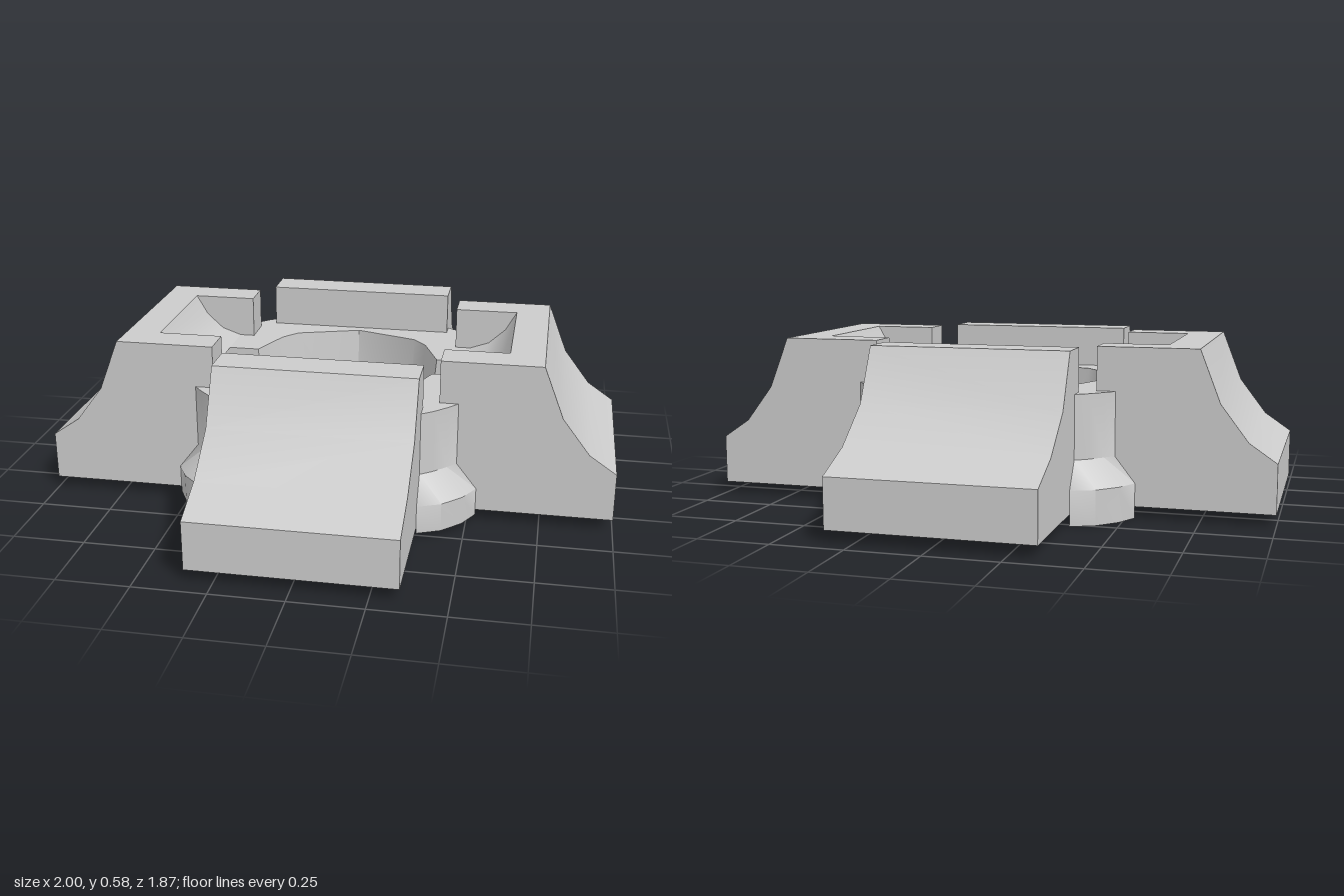
import * as THREE from 'three';
import { toCreasedNormals } from 'three/addons/utils/BufferGeometryUtils.js';

const TOP = 0.58, FLOOR = 0.43, BASE = 0.04;
const material = new THREE.MeshStandardMaterial({ color: 0xcccccc, side: THREE.DoubleSide });

function add(parent, name, geometry) {
  const mesh = new THREE.Mesh(geometry, material);
  mesh.name = name;
  parent.add(mesh);
  return mesh;
}

// Surface through rows of points, each row having the same number of points
function loft(rows) {
  const n = rows[0].length, index = [];
  for (let i = 0; i < rows.length - 1; i++) {
    for (let j = 0; j < n - 1; j++) {
      const a = i * n + j, b = a + n;
      index.push(a, a + 1, b + 1, a, b + 1, b);
    }
  }
  const g = new THREE.BufferGeometry();
  g.setAttribute('position', new THREE.Float32BufferAttribute(rows.flat(2), 3));
  g.setIndex(index);
  return toCreasedNormals(g, 0.6);
}

const outline = (pts) => new THREE.ShapeGeometry(new THREE.Shape(pts.map(([x, y]) => new THREE.Vector2(x, y))));

// Horizontal sheet from [x, z] points
const sheet = (pts, y) => outline(pts.map(([x, z]) => [x, -z])).rotateX(-Math.PI / 2).translate(0, y, 0);

// Upright sheet from [z, y] points at a given x
const upright = (pts, x) => outline(pts.map(([z, y]) => [-z, y])).rotateY(Math.PI / 2).translate(x, 0, 0);

// Hollow buttress facing +z: concave outer slope and two cheeks, open below
function buttress(name, slope, inner, half) {
  const g = new THREE.Group();
  g.name = name;
  add(g, 'outerSlope', loft([-half, half].map((x) => slope.map(([z, y]) => [x, y, z]))));
  for (const s of [-1, 1]) {
    add(g, 'cheek', upright([[inner, BASE], ...slope, [inner, TOP]], s * half));
  }
  return g;
}

function solidButtress() {
  const half = 0.345, inner = 0.4;
  const slope = [[0.935, BASE], [0.935, 0.21], [0.78, 0.275], [0.625, 0.395], [0.53, TOP]];
  const g = buttress('solidButtress', slope, inner, half);
  add(g, 'crest', sheet([[-half, inner], [half, inner], [half, 0.53], [-half, 0.53]], TOP));
  add(g, 'innerWall', loft([FLOOR, TOP].map((y) => [[-half, y, inner], [half, y, inner]])));
  return g;
}

function pocketButtress() {
  const half = 0.35, inner = 0.395, mouth = 0.23;
  const slope = [[1, BASE], [1, 0.21], [0.905, 0.275], [0.81, 0.4], [0.74, TOP]];
  const pocket = [[0.45, FLOOR], [0.52, 0.455], [0.58, 0.51], [0.62, TOP]];
  const g = buttress('pocketButtress', slope, inner, half);
  add(g, 'crest', sheet([
    [-half, inner], [-mouth, inner], [-mouth, 0.62], [mouth, 0.62],
    [mouth, inner], [half, inner], [half, 0.74], [-half, 0.74],
  ], TOP));
  add(g, 'pocketSlope', loft([-mouth, mouth].map((x) => pocket.map(([z, y]) => [x, y, z]))));
  for (const s of [-1, 1]) {
    add(g, 'pocketSide', upright([[inner, FLOOR], ...pocket, [inner, TOP]], s * mouth));
    add(g, 'lipEnd', loft([FLOOR, TOP].map((y) => [[s * mouth, y, inner], [s * half, y, inner]])));
  }
  return g;
}

// Rounded corner wall between two buttresses, flared at the foot
function cornerWall(foot) {
  const wide = [[0.53, 0.35], [0.49, 0.425], [0.425, 0.49], [0.345, 0.525]];
  const narrow = [[0.46, 0.35], [0.43, 0.385], [0.385, 0.43], [0.345, 0.46]];
  const row = (pts, y) => pts.map(([x, z]) => [x, y, z]);
  return loft([row(wide, foot), row(wide, 0.12), row(narrow, 0.21), row(narrow, FLOOR)]);
}

// Half of the central ring (z > 0): floor, tapering hole wall and slot walls
function ringHalf() {
  const g = new THREE.Group();
  g.name = 'ringHalf';
  const mirrored = (pts) => [...pts, ...pts.slice(0, -1).reverse().map(([x, z]) => [-x, z])];
  const rim = mirrored([[0.34, 0.075], [0.28, 0.23], [0.23, 0.29], [0, 0.365]]);
  const hem = mirrored([[0.305, 0.07], [0.235, 0.23], [0.21, 0.26], [0, 0.325]]);
  const edge = [
    [0.45, 0.075], [0.45, 0.23], [0.395, 0.23], [0.395, 0.35], [0.46, 0.35],
    [0.43, 0.385], [0.385, 0.43], [0.345, 0.46], [0.345, 0.4],
  ];
  const left = edge.map(([x, z]) => [-x, z]);
  add(g, 'floor', sheet([...rim, ...left, ...edge.slice().reverse()], FLOOR));
  add(g, 'holeWall', loft([
    hem.map(([x, z]) => [x, 0.02, z]),
    rim.map(([x, z]) => [x, FLOOR, z]),
  ]));
  for (const s of [-1, 1]) {
    add(g, 'slotWall', loft([
      [[s * 0.305, 0.02, 0.07], [s * 0.69, 0.02, 0.07]],
      [[s * 0.34, FLOOR, 0.075], [s * 0.62, FLOOR, 0.075]],
    ]));
  }
  return g;
}

export function createModel() {
  const model = new THREE.Group();
  model.name = 'buttressedRing';
  for (const s of [1, -1]) {
    const ring = ringHalf();
    ring.scale.z = s;
    const solid = solidButtress();
    solid.scale.z = s;
    const pocket = pocketButtress();
    pocket.rotation.y = s * Math.PI / 2;
    model.add(ring, solid, pocket);
    for (const t of [1, -1]) {
      add(model, 'cornerWall', cornerWall(s > 0 ? 0.02 : 0)).scale.set(t, 1, s);
    }
  }
  return model;
}
